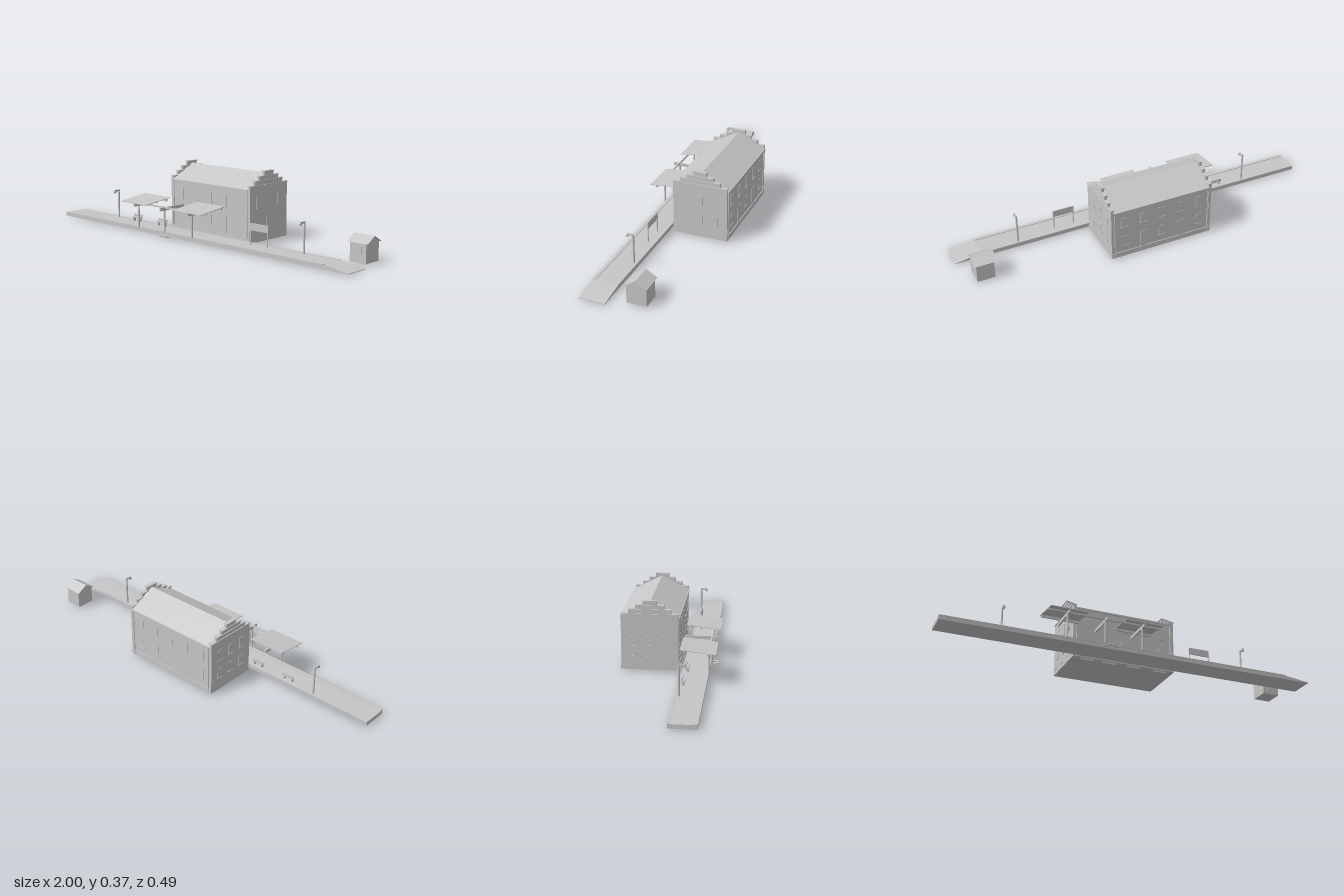
import * as THREE from 'three';

export function createModel() {
  const model = new THREE.Group();
  const grey = new THREE.MeshStandardMaterial({ color: 0xc6c6c6 });
  grey.name = 'plain grey';

  const add = (parent, name, geometry) => {
    const mesh = new THREE.Mesh(geometry, grey);
    mesh.name = name;
    parent.add(mesh);
    return mesh;
  };
  const group = (name) => {
    const g = new THREE.Group();
    g.name = name;
    model.add(g);
    return g;
  };
  // Box given by its limits on each axis
  const box = (parent, name, x0, x1, y0, y1, z0, z1) => {
    const mesh = add(parent, name, new THREE.BoxGeometry(x1 - x0, y1 - y0, z1 - z0));
    mesh.position.set((x0 + x1) / 2, (y0 + y1) / 2, (z0 + z1) / 2);
    return mesh;
  };
  // Profile of [z, y] points swept along x
  const sweepX = (parent, name, points, x0, x1) => {
    const shape = new THREE.Shape(points.map(([z, y]) => new THREE.Vector2(-z, y)));
    const geo = new THREE.ExtrudeGeometry(shape, { depth: x1 - x0, bevelEnabled: false });
    geo.rotateY(Math.PI / 2);
    geo.translate(x0, 0, 0);
    return add(parent, name, geo);
  };
  const post = (parent, name, x, z, y0, y1, r) => {
    const mesh = add(parent, name, new THREE.CylinderGeometry(r, r, y1 - y0, 10));
    mesh.position.set(x, (y0 + y1) / 2, z);
  };

  // Platform with a ramp at its left end
  const platform = group('platform');
  const side = new THREE.Shape([[-1, 0.005], [1, 0.005], [1, 0.008], [0.93, 0.018], [0.86, 0.026],
    [-1, 0.026]].map(([x, y]) => new THREE.Vector2(x, y)));
  const deck = add(platform, 'platformBody', new THREE.ExtrudeGeometry(side, { depth: 0.132, bevelEnabled: false }));
  deck.position.z = 0.068;
  box(platform, 'platformEdge', -1, 0.86, 0.026, 0.029, 0.185, 0.202);
  box(platform, 'platformBackEdge', -1, 0.86, 0.026, 0.028, 0.067, 0.075);

  // Station house
  const house = group('stationHouse');
  const ridge = -0.1;
  sweepX(house, 'walls', [[0.043, 0.008], [0.043, 0.275], [ridge, 0.348], [-0.241, 0.275], [-0.241, 0.008]], -0.276, 0.276);
  box(house, 'plinth', -0.28, 0.28, 0.008, 0.035, -0.245, 0.046);
  for (const [name, z] of [['frontRoof', 0.047], ['backRoof', -0.246]]) {
    sweepX(house, name, [[z, 0.273], [z, 0.281], [ridge, 0.355], [ridge, 0.346]], -0.272, 0.272);
    const out = z > ridge ? 1 : -1;
    box(house, 'gutter', -0.27, 0.27, 0.273, 0.282, z - 0.003, z + 0.003);
    for (const x of [-0.262, 0.262]) post(house, 'downpipe', x, z - out * 0.002, 0.01, 0.275, 0.003);
  }

  // Stepped gables with coping stones
  const steps = [[0.3, 0.045, -0.243], [0.323, 0.008, -0.205], [0.345, -0.027, -0.17], [0.368, -0.063, -0.134]];
  for (const s of [-1, 1]) {
    let bottom = 0.035;
    for (const [top, zf, zb] of steps) {
      const a = s * 0.268, b = s * 0.281, c = s * 0.263, d = s * 0.285;
      box(house, 'gableStep', Math.min(a, b), Math.max(a, b), bottom, top, zb, zf);
      box(house, 'gableCoping', Math.min(c, d), Math.max(c, d), top - 0.005, top, zb, zf);
      bottom = top;
    }
    // Gable windows with sills
    for (const z of [-0.02, ridge, -0.18]) {
      for (const y of [0.08, 0.185]) {
        box(house, 'gableWindow', s * 0.281 - 0.002, s * 0.281 + 0.002, y, y + 0.055, z - 0.015, z + 0.015);
        box(house, 'gableSill', s * 0.281 - 0.004, s * 0.281 + 0.004, y - 0.005, y, z - 0.018, z + 0.018);
      }
    }
  }

  // Windows, sills and doors on the long walls
  for (const [z, face] of [[0.043, 'front'], [-0.241, 'back']]) {
    for (let i = 0; i < 5; i++) {
      const x = -0.21 + i * 0.105;
      box(house, face + 'UpperWindow', x - 0.017, x + 0.017, 0.185, 0.24, z - 0.002, z + 0.002);
      box(house, face + 'UpperSill', x - 0.02, x + 0.02, 0.18, 0.185, z - 0.004, z + 0.004);
      const door = i % 2 === 1;
      box(house, face + (door ? 'Door' : 'LowerWindow'), x - 0.017, x + 0.017, door ? 0.03 : 0.075, 0.13, z - 0.002, z + 0.002);
      if (!door) box(house, face + 'LowerSill', x - 0.02, x + 0.02, 0.07, 0.075, z - 0.004, z + 0.004);
    }
  }
  for (const x of [-0.2, -0.075, 0.06, 0.205]) box(house, 'footing', x - 0.035, x + 0.035, 0, 0.008, 0.03, 0.036);

  // Small shed
  const shed = group('shed');
  sweepX(shed, 'shedWalls', [[-0.014, 0.004], [-0.014, 0.1], [-0.065, 0.129], [-0.115, 0.1], [-0.115, 0.004]], 0.853, 0.945);
  sweepX(shed, 'shedRoof', [[-0.008, 0.1], [-0.065, 0.133], [-0.122, 0.1], [-0.115, 0.1], [-0.065, 0.129], [-0.014, 0.1]], 0.84, 0.956);
  box(shed, 'shedDoor', 0.88, 0.918, 0.008, 0.08, -0.015, -0.012);

  // Platform canopies on single posts
  const canopies = group('canopies');
  for (const x of [-0.37, -0.17, 0.03]) {
    post(canopies, 'canopyPost', x, 0.204, 0.026, 0.145, 0.005);
    box(canopies, 'canopyBeam', x - 0.004, x + 0.004, 0.143, 0.16, 0.067, 0.237);
  }
  for (const x of [-0.37, 0.03])
    sweepX(canopies, 'canopyRoof', [[0.243, 0.16], [0.243, 0.163], [0.068, 0.184], [0.068, 0.181]], x - 0.1, x + 0.1);
  box(canopies, 'frontPurlin', -0.47, 0.13, 0.155, 0.163, 0.201, 0.209);
  for (const x of [-0.37, 0.03]) box(canopies, 'backPurlin', x - 0.1, x + 0.1, 0.165, 0.178, 0.088, 0.096);

  // Lamp posts with forward arms
  const lamps = group('lamps');
  for (const x of [-0.668, 0.66]) {
    post(lamps, 'lampPost', x, 0.085, 0.01, 0.18, 0.005);
    box(lamps, 'lampArm', x - 0.004, x + 0.004, 0.174, 0.183, 0.081, 0.115);
    box(lamps, 'lampHead', x - 0.005, x + 0.005, 0.165, 0.175, 0.108, 0.121);
  }

  // Benches
  const benches = group('benches');
  for (const x of [-0.505, -0.308]) {
    box(benches, 'benchSeat', x - 0.033, x + 0.033, 0.044, 0.049, 0.085, 0.102);
    box(benches, 'benchBack', x - 0.033, x + 0.033, 0.052, 0.062, 0.085, 0.089);
    for (const s of [-1, 1]) {
      box(benches, 'benchLeg', x + s * 0.024 - 0.003, x + s * 0.024 + 0.003, 0.026, 0.046, 0.087, 0.101);
      box(benches, 'backBracket', x + s * 0.024 - 0.003, x + s * 0.024 + 0.003, 0.046, 0.062, 0.086, 0.089);
    }
  }

  // Notice board on two legs
  const board = group('noticeBoard');
  box(board, 'boardPanel', 0.34, 0.455, 0.098, 0.134, 0.105, 0.11);
  for (const x of [0.343, 0.452]) post(board, 'boardLeg', x, 0.1075, 0.026, 0.134, 0.003);

  // Curled rail ornament beside the platform edge
  const ornament = group('curledOrnament');
  const curl = [[-0.188, 0.2], [-0.178, 0.222], [-0.165, 0.215], [-0.16, 0.24], [-0.145, 0.228], [-0.13, 0.236], [-0.12, 0.215], [-0.104, 0.22]];
  const path = new THREE.CatmullRomCurve3(curl.map(([x, z]) => new THREE.Vector3(x, 0.0125, z)));
  add(ornament, 'curl', new THREE.TubeGeometry(path, 40, 0.004, 6));

  return model;
}
